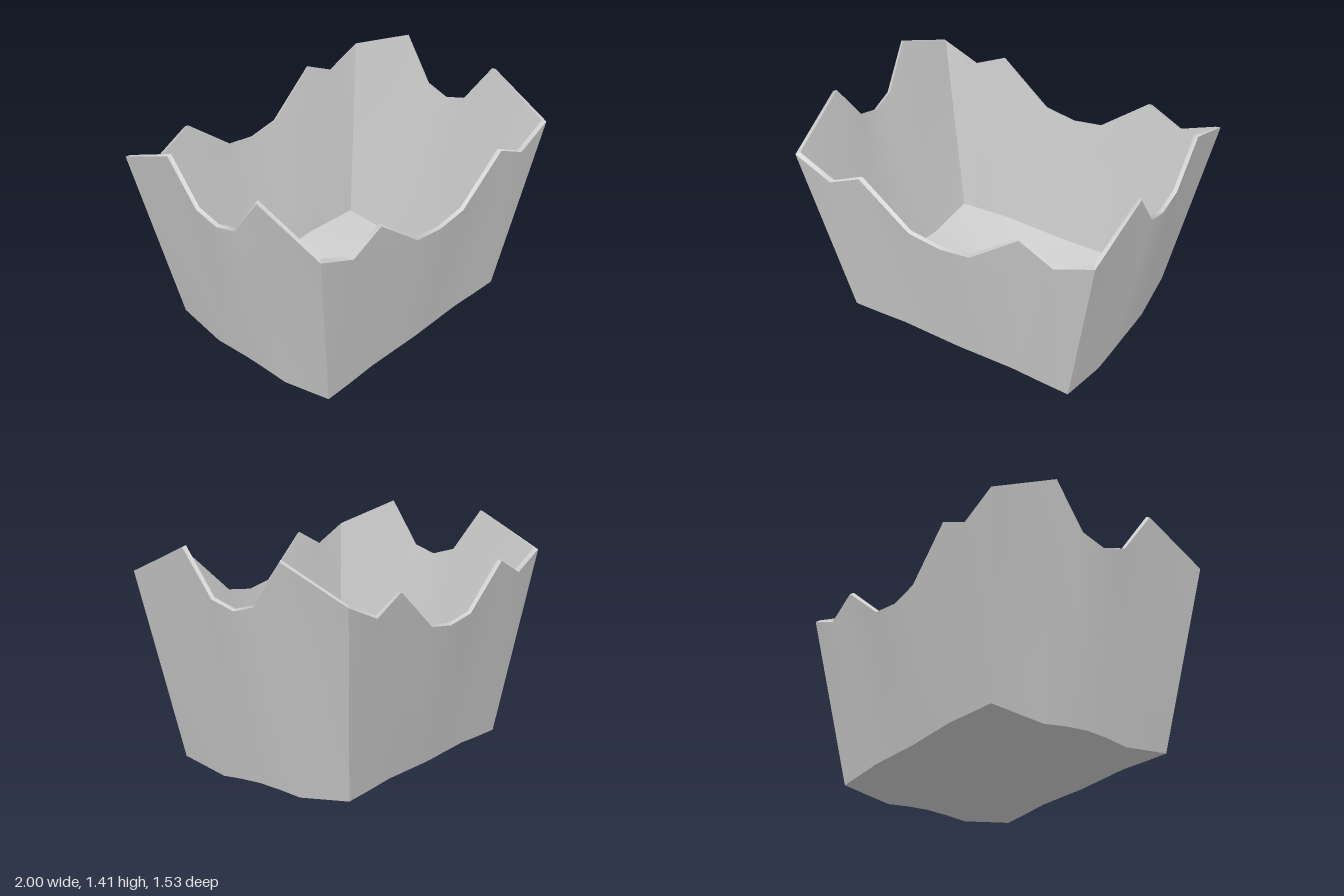
import * as THREE from 'three';
import { mergeGeometries } from 'three/addons/utils/BufferGeometryUtils.js';

const THICK = 0.02;
const BOTTOM = { x: 0.75, z: 0.6 }; // outer corner of the foot
const TOP = { x: 0.965, z: 0.755 }; // outer corner of the rim
const V = (x, y, z) => new THREE.Vector3(x, y, z);

// Smooth surface through rows of points
function patch(rows, flip = false) {
  const n = rows[0].length, index = [];
  for (let r = 0; r < rows.length - 1; r++) {
    for (let i = 0; i < n - 1; i++) {
      const a = r * n + i, b = a + 1, c = a + n, d = c + 1;
      if (flip) index.push(a, c, b, b, c, d);
      else index.push(a, b, c, b, d, c);
    }
  }
  const g = new THREE.BufferGeometry().setFromPoints(rows.flat());
  g.setIndex(index);
  g.computeVertexNormals();
  return g;
}

// Complete a half profile (centre to corner) by mirroring one axis
function mirrored(half, axis) {
  const other = half.slice(1).reverse().map((p) => {
    const q = p.clone();
    q[axis] *= -1;
    return q;
  });
  return [...other, ...half];
}

// Move outer points inward by the wall thickness
const inset = (points, corner, dy) => points.map((p) =>
  V(p.x * (1 - THICK / corner.x), p.y + dy, p.z * (1 - THICK / corner.z)));

// Straight ruled rows from the foot to the rim
const ruled = (low, high) => [0, 0.25, 0.5, 0.75, 1].map((t) =>
  low.map((p, i) => p.clone().lerp(high[i], t)));

// Wall with outer skin, inner skin and rim
function wallGeometry(low, high) {
  const innerLow = inset(low, BOTTOM, THICK), innerHigh = inset(high, TOP, 0.01);
  return mergeGeometries([
    patch(ruled(low, high)),
    patch(ruled(innerLow, innerHigh), true),
    patch([high, innerHigh]),
  ]);
}

export function createModel() {
  const group = new THREE.Group();
  const grey = new THREE.MeshStandardMaterial({ color: 0xcccccc });
  grey.name = 'plain grey';
  const add = (name, geometry, turn = 0) => {
    const mesh = new THREE.Mesh(geometry, grey);
    mesh.name = name;
    mesh.rotation.y = turn;
    group.add(mesh);
  };

  // Long walls: two small points either side of a dip
  const frontLow = mirrored([V(0, 0.09, 0.603), V(0.18, 0.095, 0.603), V(0.38, 0.1, 0.603),
    V(0.58, 0.088, 0.602), V(0.75, 0.08, 0.6)], 'x');
  const frontHigh = mirrored([V(0, 0.93, 0.75), V(0.2, 0.96, 0.754), V(0.515, 1.215, 0.763),
    V(0.725, 1.112, 0.76), V(0.965, 1.213, 0.755)], 'x');
  const front = wallGeometry(frontLow, frontHigh);
  add('frontWall', front);
  add('backWall', front, Math.PI);

  // Short walls: two tall points either side of a deep notch
  const sideLow = mirrored([V(0.788, 0.06, 0), V(0.785, 0.052, 0.14), V(0.776, 0.035, 0.28),
    V(0.75, 0.08, 0.6)], 'z').reverse();
  const sideHigh = mirrored([V(0.98, 1.09, 0), V(0.985, 1.135, 0.15), V(1, 1.4, 0.34),
    V(0.965, 1.213, 0.755)], 'z').reverse();
  const side = wallGeometry(sideLow, sideHigh);
  add('leftWall', side);
  add('rightWall', side, Math.PI);

  // Floor: blended between the four foot edges, sagging in the middle
  const floorRows = sideLow.map((s) => frontLow.map((f) => {
    const a = f.x / BOTTOM.x, b = s.z / BOTTOM.z;
    const sag = 0.07 * (1 - a * a) * (1 - Math.abs(b) ** 1.3);
    return V(
      f.x + a * (s.x - BOTTOM.x),
      Math.max(0, f.y + s.y - 0.08 - sag),
      s.z + b * (f.z - BOTTOM.z));
  }));
  add('floorUnderside', patch(floorRows, true));
  add('floorInside', patch(floorRows.map((row) => inset(row, BOTTOM, THICK))));

  return group;
}
